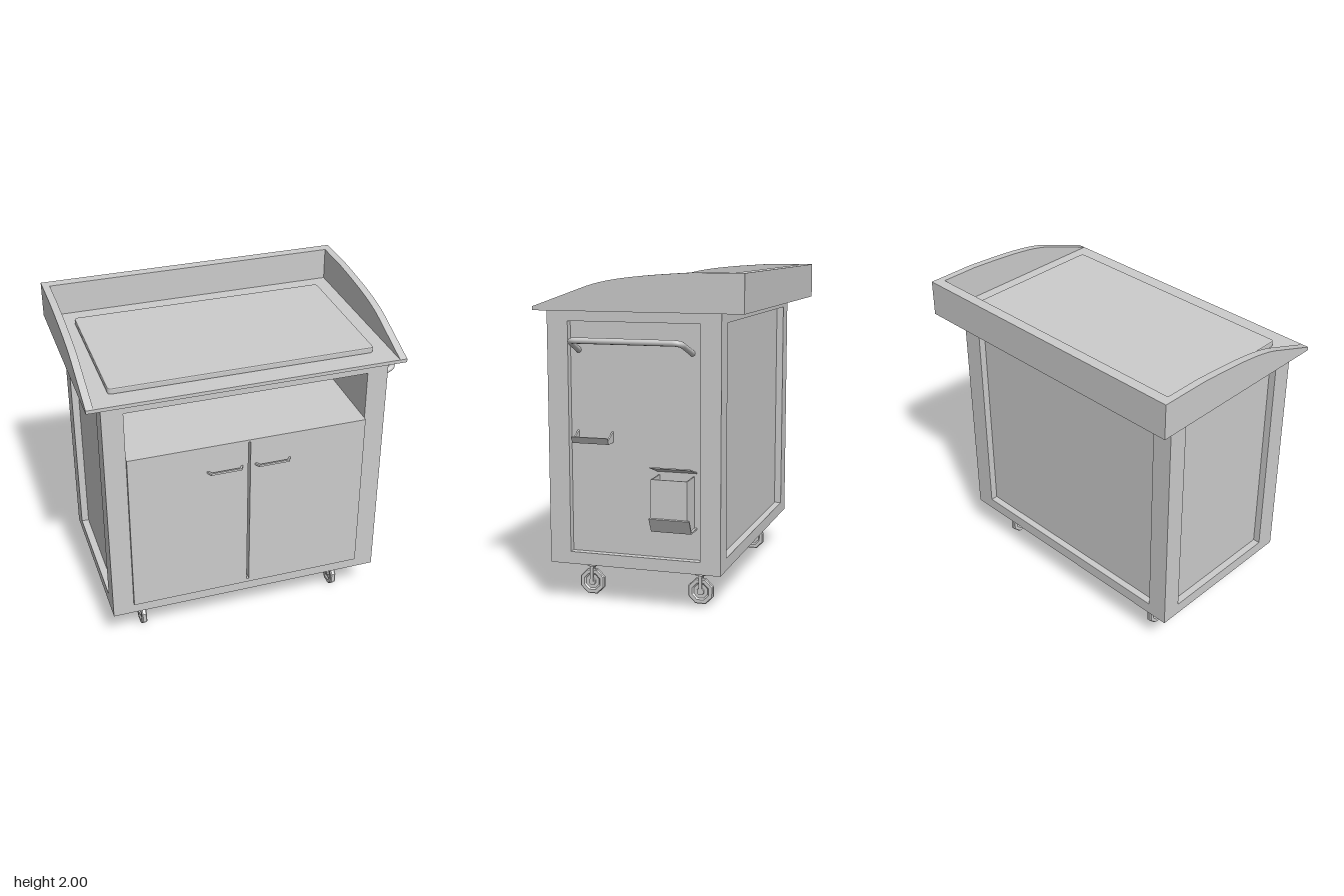
import * as THREE from 'three';

const material = new THREE.MeshStandardMaterial({ color: 0xcccccc, side: THREE.DoubleSide });

function add(parent, name, geometry) {
  const mesh = new THREE.Mesh(geometry, material);
  mesh.name = name;
  parent.add(mesh);
  return mesh;
}

// Box given by its limits on each axis
function box(parent, name, x0, x1, y0, y1, z0, z1) {
  const g = new THREE.BoxGeometry(x1 - x0, y1 - y0, z1 - z0);
  g.translate((x0 + x1) / 2, (y0 + y1) / 2, (z0 + z1) / 2);
  return add(parent, name, g);
}

const polygon = (points) => new THREE.Shape(points.map(([a, b]) => new THREE.Vector2(a, b)));
const rect = (a0, a1, b0, b1) => polygon([[a0, b0], [a1, b0], [a1, b1], [a0, b1]]);

// Shape in (x, y) extruded from z0 to z1
function alongZ(shape, z0, z1) {
  const g = new THREE.ExtrudeGeometry(shape, { depth: z1 - z0, bevelEnabled: false });
  return g.translate(0, 0, z0);
}

// Shape in (-z, y) extruded from x0 to x1
function alongX(shape, x0, x1) {
  const g = new THREE.ExtrudeGeometry(shape, { depth: x1 - x0, bevelEnabled: false });
  return g.rotateY(Math.PI / 2).translate(x0, 0, 0);
}

function framed(outer, hole) {
  outer.holes.push(hole);
  return outer;
}

function buildCabinet() {
  const g = new THREE.Group();
  g.name = 'cabinet';
  // Four outer frames around recessed panels
  const face = () => framed(rect(-0.91, 0.84, 0.245, 1.78), rect(-0.78, 0.71, 0.32, 1.71));
  const side = () => framed(rect(-0.54, 0.435, 0.245, 1.78), rect(-0.455, 0.355, 0.32, 1.71));
  add(g, 'frontFrame', alongZ(face(), 0.54, 0.585));
  add(g, 'backFrame', alongZ(face(), -0.48, -0.435));
  add(g, 'leftFrame', alongX(side(), 0.795, 0.84));
  add(g, 'rightFrame', alongX(side(), -0.91, -0.865));
  // Closed lower body and the open niche above it
  box(g, 'lowerBody', -0.865, 0.795, 0.245, 1.4, -0.435, 0.54);
  box(g, 'nicheRightWall', -0.865, -0.78, 1.4, 1.78, -0.435, 0.54);
  box(g, 'nicheLeftWall', 0.71, 0.795, 1.4, 1.78, -0.435, 0.54);
  box(g, 'nicheBack', -0.78, 0.71, 1.4, 1.78, -0.435, -0.39);
  box(g, 'nicheCeiling', -0.78, 0.71, 1.71, 1.78, -0.39, 0.54);
  // Doors with the slot between them
  const doors = framed(rect(-0.78, 0.71, 0.32, 1.4), rect(-0.041, -0.026, 0.345, 1.385));
  add(g, 'doors', alongZ(doors, 0.54, 0.605));
  for (const [x0, x1] of [[-0.3, -0.072], [0.002, 0.23]]) {
    const pull = polygon([[x0, -0.603], [x0 + 0.012, -0.603], [x0 + 0.026, -0.626],
      [x1 - 0.026, -0.626], [x1 - 0.012, -0.603], [x1, -0.603], [x1 - 0.018, -0.637], [x0 + 0.018, -0.637]]);
    add(g, 'doorHandle', alongZ(pull, 0, 0.013).rotateX(-Math.PI / 2).translate(0, 1.216, 0));
  }
  return g;
}

function buildTop() {
  const g = new THREE.Group();
  g.name = 'worktop';
  box(g, 'tray', -1, 0.935, 1.775, 1.797, -0.635, 0.635);
  box(g, 'backGuard', -0.955, 0.89, 1.797, 2, -0.635, -0.57);
  // Side guards rise in a straight slope, then a gentle curve
  const guard = new THREE.Shape();
  guard.moveTo(-0.635, 1.797);
  guard.lineTo(-0.3, 1.918);
  guard.bezierCurveTo(-0.15, 1.97, 0.08, 1.985, 0.33, 2);
  guard.lineTo(0.635, 2);
  guard.lineTo(0.635, 1.797);
  add(g, 'rightGuard', alongX(guard, -1, -0.955));
  add(g, 'leftGuard', alongX(guard, 0.89, 0.935));
  // Cooking plate with rounded corners
  const [w, d, r] = [0.803, 0.455, 0.015];
  const plate = new THREE.Shape();
  plate.moveTo(-w + r, -d);
  plate.absarc(w - r, -d + r, r, -Math.PI / 2, 0);
  plate.absarc(w - r, d - r, r, 0, Math.PI / 2);
  plate.absarc(-w + r, d - r, r, Math.PI / 2, Math.PI);
  plate.absarc(-w + r, -d + r, r, Math.PI, Math.PI * 1.5);
  const pg = new THREE.ExtrudeGeometry(plate, {
    depth: 0.024, bevelSize: 0.007, bevelThickness: 0.007, bevelSegments: 2, curveSegments: 4,
  });
  add(g, 'cookingPlate', pg.rotateX(-Math.PI / 2).translate(-0.034, 1.804, 0.043));
  return g;
}

function buildCaster(x, z) {
  const g = new THREE.Group();
  g.name = 'caster';
  add(g, 'swivelCup', new THREE.CylinderGeometry(0.037, 0.037, 0.065, 16).translate(0, 0.2125, 0));
  box(g, 'forkBridge', -0.026, 0.026, 0.168, 0.18, -0.012, 0.012);
  for (const s of [-1, 1]) {
    box(g, 'forkLeg', s * 0.0225 - 0.0035, s * 0.0225 + 0.0035, 0.07, 0.18, -0.01, 0.01);
  }
  // Eight-sided wheel with dished sides and a hub
  const profile = [[0.002, -0.022], [0.022, -0.022], [0.024, -0.008], [0.046, -0.008], [0.056, -0.017],
    [0.078, -0.017], [0.084, -0.01], [0.084, 0.01], [0.078, 0.017], [0.056, 0.017],
    [0.046, 0.008], [0.024, 0.008], [0.022, 0.022], [0.002, 0.022]];
  const wheel = new THREE.LatheGeometry(profile.map(([a, b]) => new THREE.Vector2(a, b)), 8, Math.PI / 8);
  const flat = wheel.toNonIndexed();
  flat.computeVertexNormals();
  add(g, 'wheel', flat.rotateZ(Math.PI / 2).translate(0, 0.078, 0));
  g.position.set(x, 0, z);
  return g;
}

function buildSideFittings() {
  const g = new THREE.Group();
  g.name = 'sideFittings';
  // Push handle with rounded bends
  const v = (x, y, z) => new THREE.Vector3(x, y, z);
  const path = new THREE.CurvePath();
  path.add(new THREE.LineCurve3(v(0.785, 1.535, 0.405), v(0.94, 1.595, 0.393)));
  path.add(new THREE.QuadraticBezierCurve3(v(0.94, 1.595, 0.393), v(0.979, 1.61, 0.39), v(0.979, 1.61, 0.345)));
  path.add(new THREE.LineCurve3(v(0.979, 1.61, 0.345), v(0.979, 1.61, -0.235)));
  path.add(new THREE.QuadraticBezierCurve3(v(0.979, 1.61, -0.235), v(0.979, 1.61, -0.28), v(0.94, 1.595, -0.283)));
  path.add(new THREE.LineCurve3(v(0.94, 1.595, -0.283), v(0.785, 1.535, -0.295)));
  add(g, 'pushHandle', new THREE.TubeGeometry(path, 80, 0.018, 10));

  // Small open holder with a flared lip
  const holder = polygon([[0.79, 0.995], [0.88, 0.995], [0.903, 1.035], [0.896, 1.037],
    [0.876, 1.005], [0.79, 1.005]]);
  add(g, 'holderTray', alongZ(holder, 0.19, 0.418));
  const end = polygon([[0.79, 0.995], [0.88, 0.995], [0.887, 1.018], [0.84, 1.04], [0.79, 1.062]]);
  add(g, 'holderEnd', alongZ(end, 0.19, 0.2));
  add(g, 'holderEnd', alongZ(end, 0.406, 0.416));

  // Open-topped bin with a sloping foot and a tilted lid
  const binEnd = polygon([[0.79, 0.51], [0.905, 0.51], [0.945, 0.585], [0.945, 0.82], [0.79, 0.82]]);
  add(g, 'binEnd', alongZ(binEnd, -0.31, -0.302));
  add(g, 'binEnd', alongZ(binEnd, -0.098, -0.09));
  box(g, 'binFront', 0.937, 0.945, 0.58, 0.82, -0.302, -0.098);
  const foot = polygon([[0.79, 0.503], [0.91, 0.503], [0.956, 0.588], [0.947, 0.592], [0.904, 0.513], [0.79, 0.513]]);
  add(g, 'binFoot', alongZ(foot, -0.325, -0.08));
  const lid = polygon([[0.79, 0.836], [0.932, 0.882], [0.93, 0.889], [0.79, 0.844]]);
  add(g, 'binLid', alongZ(lid, -0.325, -0.08));
  return g;
}

export function createModel() {
  const model = new THREE.Group();
  model.name = 'grillCart';
  model.add(buildCabinet(), buildTop(), buildSideFittings());
  for (const x of [-0.69, 0.623]) {
    for (const z of [0.4, -0.3]) model.add(buildCaster(x, z));
  }
  return model;
}
